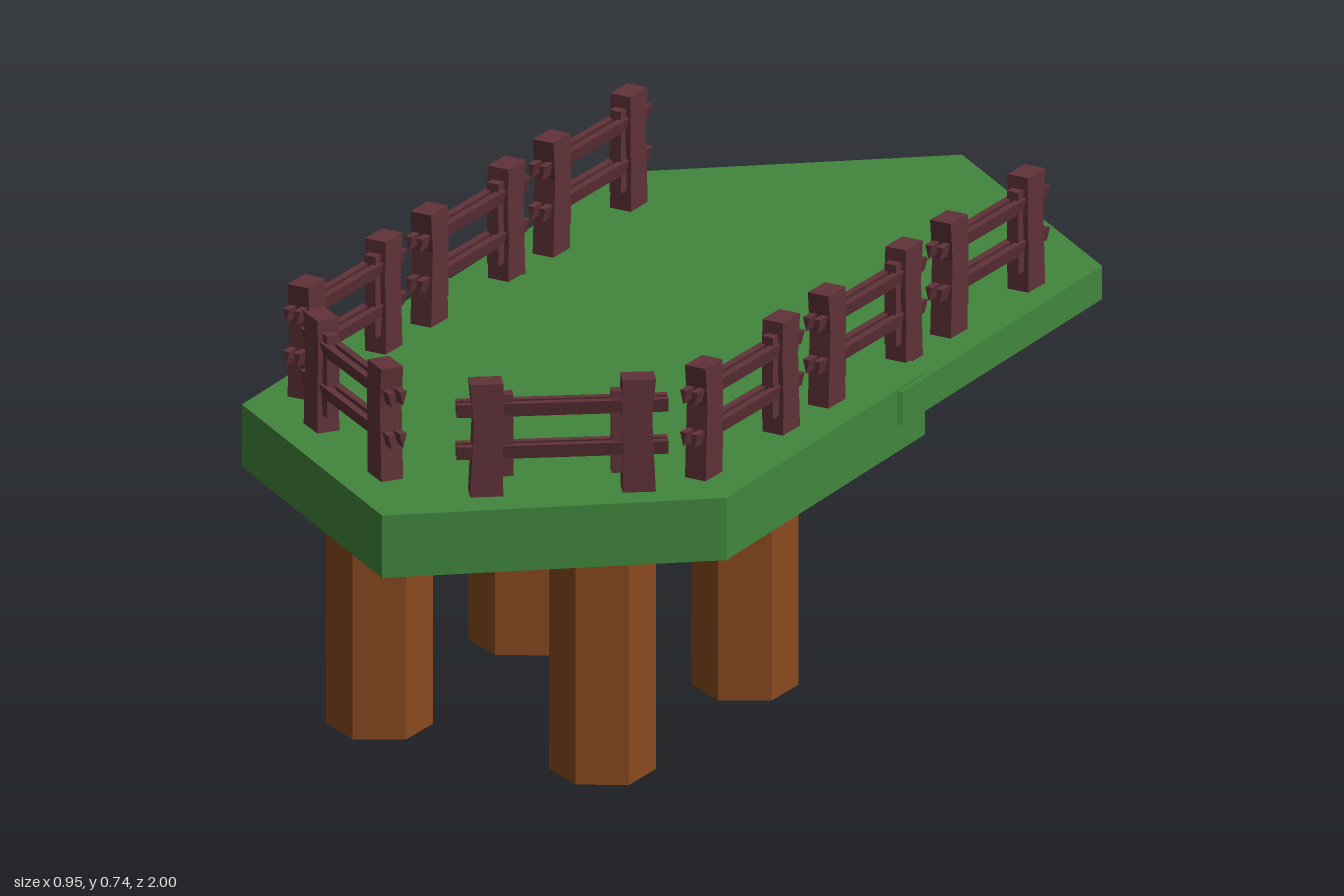
import * as THREE from 'three';

const mat = (color) => new THREE.MeshStandardMaterial({ color, flatShading: true });

export function createModel() {
  const model = new THREE.Group();
  const grass = mat(0x41863d), trunk = mat(0x8a4a1f), wood = mat(0x603239);

  const add = (parent, name, geometry, material, x = 0, y = 0, z = 0) => {
    const mesh = new THREE.Mesh(geometry, material);
    mesh.name = name;
    mesh.position.set(x, y, z);
    parent.add(mesh);
    return mesh;
  };

  // Two overlapping, slightly turned hexagonal slabs (outline in x, z)
  const half = [[0.02, 0.7], [0.473, 0.335], [0.453, -0.356]];
  const outline = [...half, ...half.map(([x, z]) => [-x, -z])];
  const slab = (name, x, z, top, thickness) => {
    const shape = new THREE.Shape(outline.map((p) => new THREE.Vector2(...p)));
    const g = new THREE.ExtrudeGeometry(shape, { depth: thickness, bevelEnabled: false });
    add(model, name, g.rotateX(Math.PI / 2), grass, x, top, z);
  };
  slab('frontPlatform', 0.004, 0.3, 0.535, 0.111);
  slab('backPlatform', -0.005, -0.3, 0.531, 0.059);

  // Hexagonal legs
  const legGeo = new THREE.CylinderGeometry(0.0895, 0.0895, 0.43, 6);
  for (const x of [-0.205, 0.227])
    for (const z of [0.147, 0.617]) add(model, 'leg', legGeo, trunk, x, 0.215, z);

  // Slightly crooked post
  const postGeo = new THREE.BoxGeometry(0.04, 0.204, 0.056, 1, 3, 1);
  const pos = postGeo.attributes.position;
  for (let i = 0; i < pos.count; i++) {
    const y = pos.getY(i);
    if (Math.abs(y) < 0.05) pos.setZ(i, pos.getZ(i) * 0.92 - (y > 0 ? 0.004 : 0.001));
  }

  // Triangular rail, point down
  const railGeo = new THREE.CylinderGeometry(1, 1, 0.355, 3)
    .rotateX(Math.PI / 2).rotateZ(Math.PI).scale(0.0075, 0.0165, 1);
  railGeo.computeBoundingBox();
  if (railGeo.boundingBox.max.y > -railGeo.boundingBox.min.y) railGeo.rotateZ(Math.PI);
  const stubGeo = new THREE.BoxGeometry(0.022, 0.145, 0.045);

  // One fence section running along its local z
  const fence = (x, z, angle) => {
    const g = new THREE.Group();
    g.name = 'fence';
    for (const s of [-1, 1]) {
      const post = add(g, 'post', postGeo, wood, 0, 0.633, s * 0.128);
      if (s < 0) post.rotation.y = Math.PI;
      add(g, 'postBrace', stubGeo, wood, 0, 0.64, s * 0.105);
      for (const y of [0.615, 0.69]) add(g, 'rail', railGeo, wood, s * 0.0105, y, 0);
    }
    g.position.set(x, 0, z);
    g.rotation.y = angle;
    model.add(g);
  };
  for (const x of [-0.383, 0.387])
    for (const z of [-0.382, 0.022, 0.428]) fence(x, z, 0);
  fence(-0.175, 0.755, 0.96);
  fence(0.222, 0.743, -0.95);

  return model;
}
